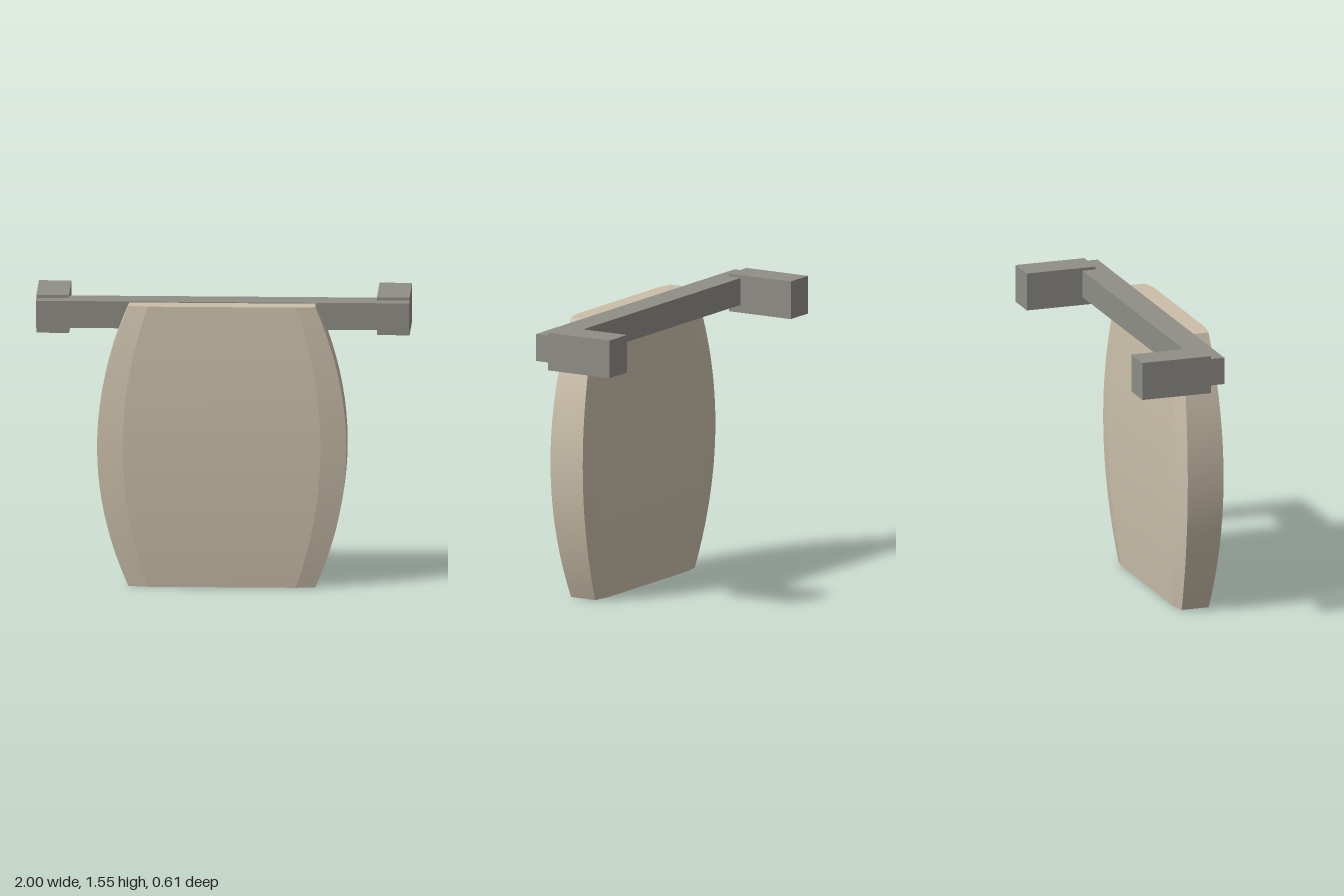
import * as THREE from 'three';

const grey = new THREE.MeshStandardMaterial({ color: 0x8f8e87 });
grey.name = 'grey frame';
const cream = new THREE.MeshStandardMaterial({ color: 0xcbbfaa });
cream.name = 'cream panel';

// Box given by its minimum and maximum corners
function box(name, x0, x1, y0, y1, z0, z1) {
  const mesh = new THREE.Mesh(new THREE.BoxGeometry(x1 - x0, y1 - y0, z1 - z0), grey);
  mesh.position.set((x0 + x1) / 2, (y0 + y1) / 2, (z0 + z1) / 2);
  mesh.name = name;
  return mesh;
}

// Octagonal section at mid height, as [x, z]
const SECTION = [
  [0.668, 0.102], [0.668, -0.102], [0.53, -0.126], [-0.53, -0.126],
  [-0.668, -0.102], [-0.668, 0.102], [-0.53, 0.126], [0.53, 0.126],
];

// Barrel-shaped panel: the section swells toward mid height
function panelGeometry(height, steps) {
  const positions = [];
  const indices = [];
  const count = SECTION.length;
  const put = (k, y) => {
    const s = 1 - 0.25 * ((y - 0.765) / 0.765) ** 2;
    const [x, z] = SECTION[k % count];
    positions.push(x * s, y, z * s);
  };
  // Each side is its own strip: smooth along the height, sharp between sides
  for (let k = 0; k < count; k++) {
    const base = positions.length / 3;
    for (let j = 0; j <= steps; j++) {
      put(k, (height * j) / steps);
      put(k + 1, (height * j) / steps);
    }
    for (let j = 0; j < steps; j++) {
      const a = base + 2 * j;
      indices.push(a, a + 1, a + 3, a, a + 3, a + 2);
    }
  }
  // Flat ends
  for (const y of [0, height]) {
    const base = positions.length / 3;
    for (let k = 0; k < count; k++) put(k, y);
    for (let k = 1; k < count - 1; k++) {
      if (y > 0) indices.push(base, base + k, base + k + 1);
      else indices.push(base, base + k + 1, base + k);
    }
  }
  const geometry = new THREE.BufferGeometry();
  geometry.setAttribute('position', new THREE.Float32BufferAttribute(positions, 3));
  geometry.setIndex(indices);
  geometry.computeVertexNormals();
  return geometry;
}

export function createModel() {
  const model = new THREE.Group();
  model.name = 'hanging panel on bracket';

  const panel = new THREE.Mesh(panelGeometry(1.532, 20), cream);
  panel.name = 'panel';
  panel.position.z = 0.177;
  model.add(panel);

  // Crossbar with an arm reaching back at each end
  model.add(box('crossbar', -1, 1, 1.39, 1.537, 0.014, 0.163));
  model.add(box('leftArm', 0.825, 1, 1.347, 1.553, -0.303, 0.087));
  model.add(box('rightArm', -1, -0.825, 1.347, 1.553, -0.303, 0.087));

  return model;
}
